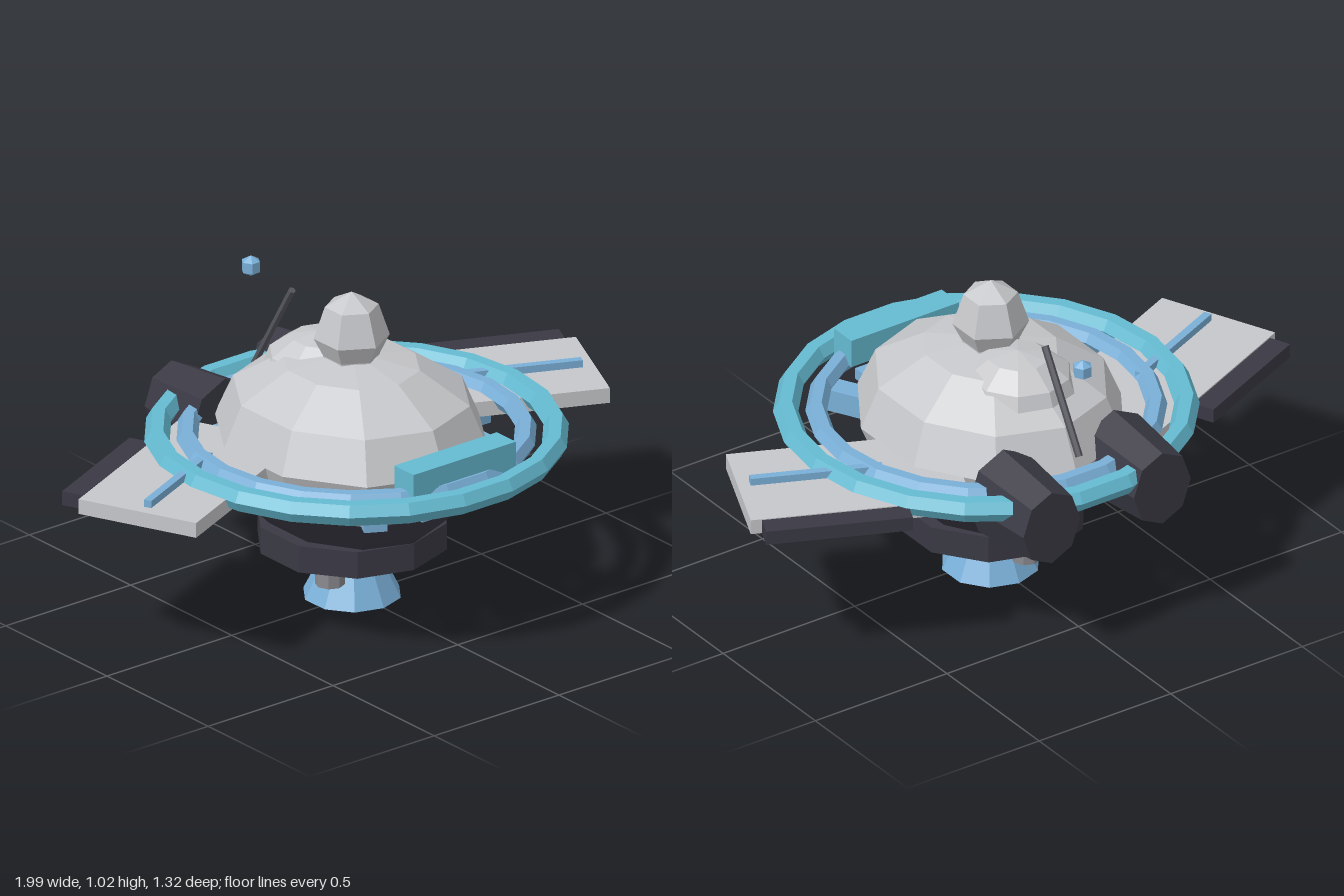
import * as THREE from 'three';

const mat = (name, color) => {
  const m = new THREE.MeshStandardMaterial({ color, flatShading: true });
  m.name = name;
  return m;
};

export function createModel() {
  const root = new THREE.Group();
  root.name = 'spaceStation';
  const grey = mat('hullGrey', 0xc6c7ca);
  const dark = mat('charcoal', 0x3a3944);
  const cyan = mat('ringCyan', 0x65bbd2);
  const blue = mat('trimBlue', 0x7ab0d8);
  const steel = mat('steel', 0x8a8a90);
  const rodGrey = mat('rodGrey', 0x55555d);

  const add = (name, geo, material, x = 0, y = 0, z = 0, parent = root) => {
    const m = new THREE.Mesh(geo, material);
    m.name = name;
    m.position.set(x, y, z);
    parent.add(m);
    return m;
  };
  const box = (name, material, w, h, d, x, y, z, parent) =>
    add(name, new THREE.BoxGeometry(w, h, d), material, x, y, z, parent);
  // faceted solid of revolution from [radius, height] pairs, bottom to top
  const lathe = (name, material, profile, sides, z, sx = 1) => {
    const pts = profile.map(([r, y]) => new THREE.Vector2(r, y));
    const m = add(name, new THREE.LatheGeometry(pts, sides), material, 0, 0, z);
    m.scale.x = sx;
    return m;
  };
  // profile of a squashed sphere
  const dome = (r, ry, cy, steps) => Array.from({ length: steps + 1 }, (_, i) => {
    const a = -Math.PI / 2 + (Math.PI * i) / steps;
    return [Math.max(0, r * Math.cos(a)), cy + ry * Math.sin(a)];
  });

  // central body
  lathe('upperHull', grey, dome(0.465, 0.27, 0.55, 6), 10, -0.025, 0.89);
  lathe('rearDome', grey, dome(0.2, 0.14, 0.7, 6), 10, -0.17, 0.95);
  lathe('lowerHull', dark,
    [[0, 0.25], [0.3, 0.26], [0.345, 0.3], [0.445, 0.4], [0.425, 0.437], [0, 0.437]], 10, -0.03, 0.84);
  lathe('collar', dark, [[0, 0.18], [0.305, 0.18], [0.305, 0.27], [0, 0.27]], 10, -0.022);
  lathe('enginePlate', blue, [[0, 0.15], [0.23, 0.15], [0.23, 0.185], [0, 0.185]], 10, -0.022);
  lathe('nozzle', blue, [[0, 0], [0.157, 0], [0.08, 0.155], [0, 0.155]], 10, -0.022);
  lathe('tower', grey, [[0.085, 0.76], [0.09, 0.81], [0.12, 0.87], [0.085, 0.975], [0, 1.022]], 6, -0.024);

  // three small thrusters around the nozzle
  for (let i = 0; i < 3; i++) {
    const a = Math.PI / 3 + (i * Math.PI * 2) / 3;
    add('smallThruster', new THREE.CylinderGeometry(0.047, 0.047, 0.055, 8), steel,
      0.193 * Math.sin(a), 0.137, -0.022 + 0.193 * Math.cos(a));
  }

  // rings
  const ring = (name, material, r, tube, y) =>
    add(name, new THREE.TorusGeometry(r, tube, 6, 22).rotateX(Math.PI / 2), material, 0, y, 0);
  ring('outerRing', cyan, 0.625, 0.04, 0.551);
  ring('innerRing', blue, 0.53, 0.034, 0.551);
  box('frontModule', cyan, 0.41, 0.095, 0.095, 0, 0.598, 0.487);
  box('frontTrim', blue, 0.29, 0.038, 0.14, 0, 0.476, 0.435);

  for (const s of [1, -1]) {
    // braces below the rings
    for (const [x, z, a] of [[0.25, 0.385, 0.5], [0.25, -0.36, Math.PI - 0.5]]) {
      box('ringBrace', blue, 0.075, 0.075, 0.13, s * x, 0.478, z).rotation.y = s * a;
    }
    box('sideBar', blue, 0.07, 0.03, 0.33, s * 0.4, 0.452, 0);
    box('sideArm', blue, 0.16, 0.058, 0.068, s * 0.45, 0.472, -0.022);

    // swept solar wing
    const wing = new THREE.Group();
    wing.name = s > 0 ? 'leftWing' : 'rightWing';
    wing.position.set(s * 0.593, 0, -0.1);
    wing.rotation.y = -s * 0.42;
    root.add(wing);
    box('wingPanel', grey, 0.7, 0.05, 0.41, 0, 0.526, 0, wing);
    box('wingEdge', dark, 0.465, 0.047, 0.073, s * 0.083, 0.526, -0.244, wing);
    box('wingStrut', blue, 0.42, 0.024, 0.026, s * 0.1, 0.563, 0.015, wing);

    // tapered rear engine
    const engine = add('rearEngine',
      new THREE.CylinderGeometry(0.155, 0.127, 0.265, 8).rotateX(Math.PI / 2),
      dark, s * 0.21, 0.504, -0.523);
    engine.scale.x = 0.85;
  }

  // antenna and beacon
  const rod = add('antennaRod', new THREE.CylinderGeometry(0.012, 0.012, 0.36, 6), rodGrey, 0, 0.772, -0.411);
  rod.rotation.x = Math.atan2(0.18, 0.3);
  add('beacon', new THREE.SphereGeometry(0.035, 6, 3), blue, 0, 0.94, -0.522);

  return root;
}
